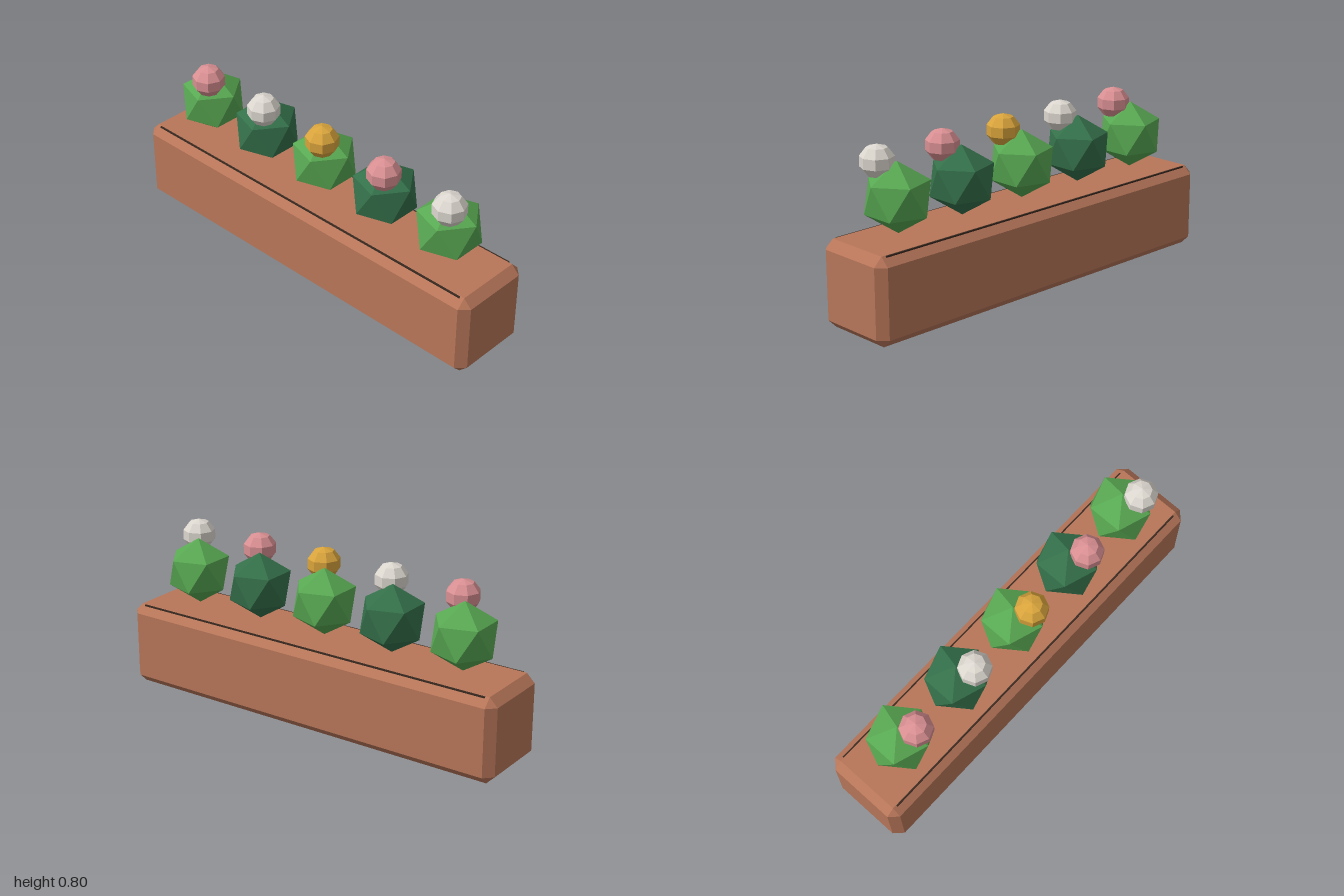
import * as THREE from 'three';
import { ConvexGeometry } from 'three/addons/geometries/ConvexGeometry.js';

const mat = (name, color) => {
  const m = new THREE.MeshStandardMaterial({ color, flatShading: true });
  m.name = name;
  return m;
};

// Box with flat chamfers on every edge
function chamferedBox(w, h, d, c) {
  const pts = [];
  for (const x of [-1, 1]) for (const y of [-1, 1]) for (const z of [-1, 1]) {
    const corner = new THREE.Vector3(x * w / 2, y * h / 2, z * d / 2);
    for (const keep of ['x', 'y', 'z']) {
      const inset = new THREE.Vector3(x, y, z).multiplyScalar(-c);
      inset[keep] = 0;
      pts.push(corner.clone().add(inset));
    }
  }
  return new ConvexGeometry(pts);
}

// Icosahedron standing on a corner, with an upper corner towards +x
function uprightIcosahedron(r) {
  const pts = [new THREE.Vector3(0, r, 0), new THREE.Vector3(0, -r, 0)];
  const ring = r * 2 / Math.sqrt(5);
  for (let i = 0; i < 5; i++) {
    const a = i * Math.PI * 2 / 5;
    const x = ring * Math.cos(a), z = ring * Math.sin(a);
    pts.push(new THREE.Vector3(x, ring / 2, z), new THREE.Vector3(-x, -ring / 2, -z));
  }
  return new ConvexGeometry(pts);
}

export function createModel() {
  const terracotta = mat('terracotta', 0xb87659);
  const soilBrown = mat('soil brown', 0x3a2a20);
  const greens = [mat('light green', 0x58a852), mat('dark green', 0x34704a)];
  const pink = mat('pink', 0xd98f92);
  const white = mat('off white', 0xdcd7cf);
  const yellow = mat('yellow', 0xd9a43c);

  const model = new THREE.Group();
  model.name = 'windowPlanter';
  const add = (parent, name, geometry, material, x, y, z) => {
    const mesh = new THREE.Mesh(geometry, material);
    mesh.name = name;
    mesh.position.set(x, y, z);
    parent.add(mesh);
    return mesh;
  };

  // Trough, with soil showing along the long top edges
  add(model, 'trough', chamferedBox(2, 0.4, 0.4, 0.04), terracotta, 0, 0.2, 0);
  add(model, 'soil', new THREE.BoxGeometry(1.88, 0.08, 0.336), soilBrown, 0, 0.359, 0);

  // Row of plants, each with one flower at the front
  const leafGeometry = uprightIcosahedron(0.16);
  const flowerGeometry = new THREE.SphereGeometry(0.08, 8, 5);
  flowerGeometry.scale(1, 0.945, 1);
  [pink, white, yellow, pink, white].forEach((bloom, i) => {
    const plant = new THREE.Group();
    plant.name = 'plant' + (i + 1);
    plant.position.x = (i - 2) * 0.367;
    add(plant, 'leaves', leafGeometry, greens[i % 2], 0, 0.57, 0);
    add(plant, 'flower', flowerGeometry, bloom, 0.05, 0.725, 0.067);
    model.add(plant);
  });
  return model;
}
